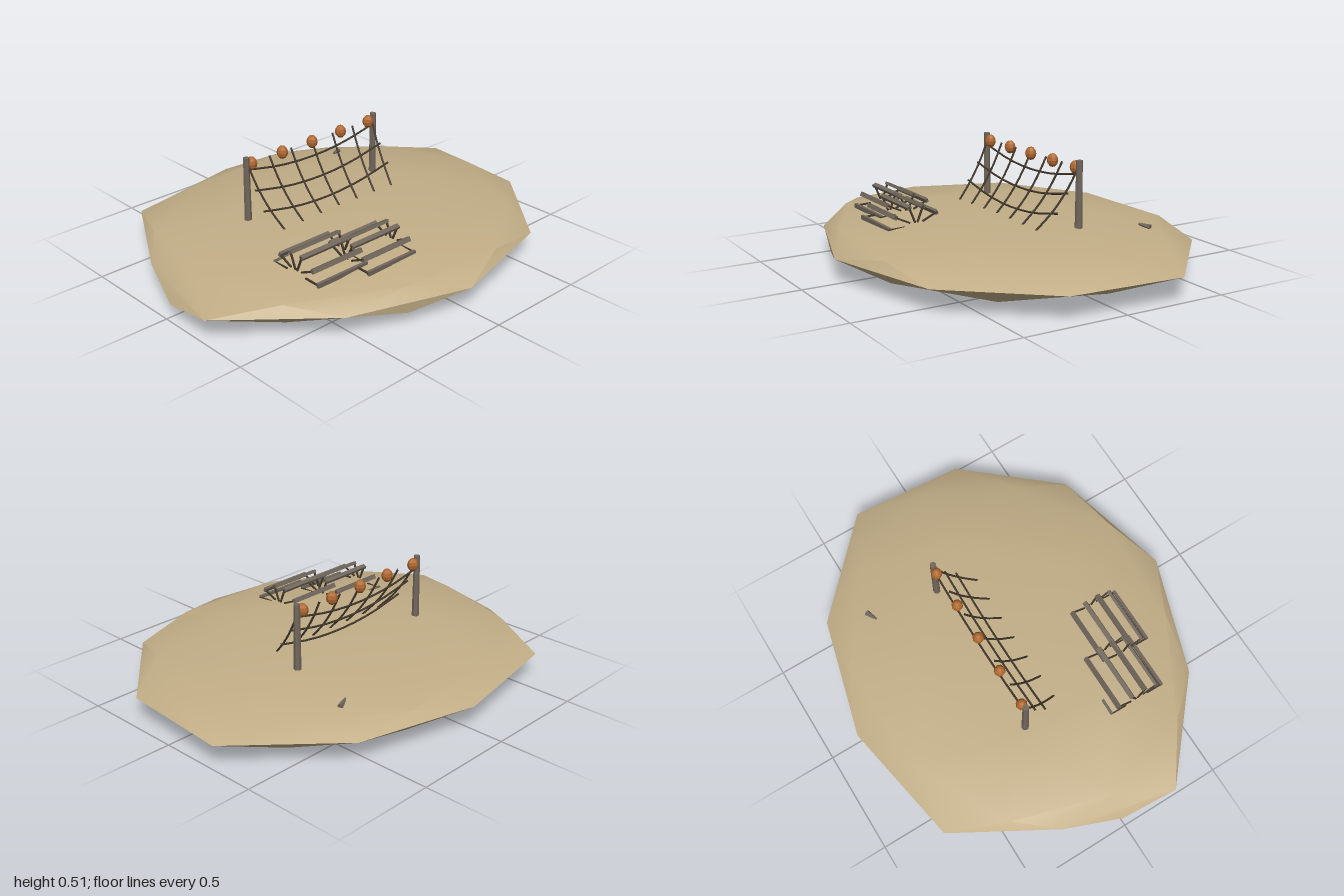
import * as THREE from 'three';
import { toCreasedNormals } from 'three/addons/utils/BufferGeometryUtils.js';

const mat = (name, color, extra = {}) => {
  const m = new THREE.MeshStandardMaterial({ color, ...extra });
  m.name = name;
  return m;
};

// Low sand mound: a squashed, uneven icosphere built from rings around the y axis
function islandGeometry() {
  const rim = [[0, 0.84], [0.59, 0.69], [0.96, 0.26], [1, -0.29], [0.57, -0.7],
    [0, -0.85], [-0.61, -0.74], [-0.88, -0.27], [-1, 0.27], [-0.56, 0.65]]
    .map(([x, z]) => [x, 0.113, z]);
  const polar = (deg, r, y) => {
    const a = THREE.MathUtils.degToRad(deg);
    return [Math.sin(a) * r * 1.02, y, Math.cos(a) * r * 0.87];
  };
  const out = [];
  // The upper and lower halves are the same pattern turned by one step
  const half = (turn, up, yWide, yMid, yInner, yPole) => {
    const tri = (a, b, c) => out.push(...a, ...(up ? b : c), ...(up ? c : b));
    const outer = [], inner = [];
    for (let i = 0; i < 10; i++) {
      const wide = i % 2 === turn;
      outer.push(polar(18 + 36 * i, wide ? 0.89 : 0.85, wide ? yWide : yMid));
    }
    if (!up) outer[7][0] = -0.975;
    for (let k = 0; k < 5; k++) inner.push(polar(18 + 36 * turn + 72 * k, 0.54, yInner));
    for (let i = 0; i < 10; i++) {
      const j = (i + 1) % 10;
      tri(rim[i], rim[j], outer[i]);
      tri(rim[j], outer[j], outer[i]);
    }
    for (let k = 0; k < 5; k++) {
      const b = (n) => outer[(2 * k + turn + n) % 10];
      const a0 = inner[k], a1 = inner[(k + 1) % 5];
      tri(b(0), b(1), a0);
      tri(b(1), b(2), a1);
      tri(b(1), a1, a0);
      tri(a0, a1, [0, yPole, 0]);
    }
  };
  half(0, true, 0.16, 0.167, 0.205, 0.213);
  half(1, false, 0.06, 0.054, 0.029, 0);
  const g = new THREE.BufferGeometry();
  g.setAttribute('position', new THREE.Float32BufferAttribute(out, 3));
  return toCreasedNormals(g, 0.6);
}

export function createModel() {
  const model = new THREE.Group();
  model.name = 'beachIsland';
  const sand = mat('sand', 0xc2ae87);
  const wood = mat('weatheredWood', 0x71675c, { flatShading: true });
  const rope = mat('darkRope', 0x443a2d);
  const orange = mat('orangeFloat', 0xb0682f, { flatShading: true });

  const add = (parent, name, geometry, material, x = 0, y = 0, z = 0) => {
    const m = new THREE.Mesh(geometry, material);
    m.name = name;
    m.position.set(x, y, z);
    parent.add(m);
    return m;
  };
  const cord = (points, radius = 0.005) => new THREE.TubeGeometry(
    new THREE.CatmullRomCurve3(points.map((p) => new THREE.Vector3(...p))), 10, radius, 5);

  add(model, 'island', islandGeometry(), sand);

  // Net hung between two posts, its foot lying on the sand
  const net = new THREE.Group();
  net.name = 'fishingNet';
  model.add(net);
  for (const s of [-1, 1]) {
    add(net, 'post', new THREE.CylinderGeometry(0.015, 0.018, 0.34, 7), wood, s * 0.4, 0.345, -0.175);
  }
  for (let i = 0; i < 4; i++) {
    const y = 0.455 - i * 0.085, z = -0.177 + i * 0.056;
    const points = [-1, -0.5, 0, 0.5, 1].map((t) => [t * 0.4, y - 0.052 * (1 - t * t), z]);
    add(net, 'crossRope', cord(points), rope);
  }
  for (let i = -3; i <= 3; i++) {
    const x = i * 0.131;
    add(net, 'hangingRope', cord([[x, 0.485, -0.177], [x * 0.97, 0.385, -0.125],
      [x * 0.93, 0.29, -0.06], [x * 0.87, 0.2, 0.022]]), rope);
  }
  for (let i = -2; i <= 2; i++) {
    const ball = add(net, 'netFloat', new THREE.SphereGeometry(0.027, 8, 6), orange, i * 0.184, 0.478, -0.177);
    ball.scale.y = 1.2;
  }

  // Two arched racks: slats around a half circle, held by radial legs at both ends
  const rack = (x, z) => {
    const g = new THREE.Group();
    g.name = 'slatRack';
    g.position.set(x, 0.195, z);
    model.add(g);
    for (const s of [-1, 1]) {
      for (const [dz, y] of [[0.035, 0.086], [0.104, 0.049], [0.138, -0.004]]) {
        const angle = Math.atan2(s * dz, y);
        const spoke = new THREE.Group();
        spoke.name = 'slatWithLegs';
        spoke.position.set(0, y, s * dz);
        spoke.rotation.x = angle;
        g.add(spoke);
        add(spoke, 'slat', new THREE.BoxGeometry(0.285, 0.014, 0.022), wood);
        for (const e of [-1, 1]) {
          add(spoke, 'leg', new THREE.BoxGeometry(0.007, 0.085, 0.008), rope, e * 0.139, -0.036, 0);
        }
      }
    }
  };
  rack(-0.418, 0.34);
  rack(-0.192, 0.41);

  // Small piece of driftwood half sunk in the sand behind the net
  const drift = add(model, 'driftwood', new THREE.CylinderGeometry(0.014, 0.005, 0.06, 6), wood, 0.46, 0.183, -0.505);
  drift.rotation.set(0, 0.4, -Math.PI / 2 - 0.15);

  return model;
}
